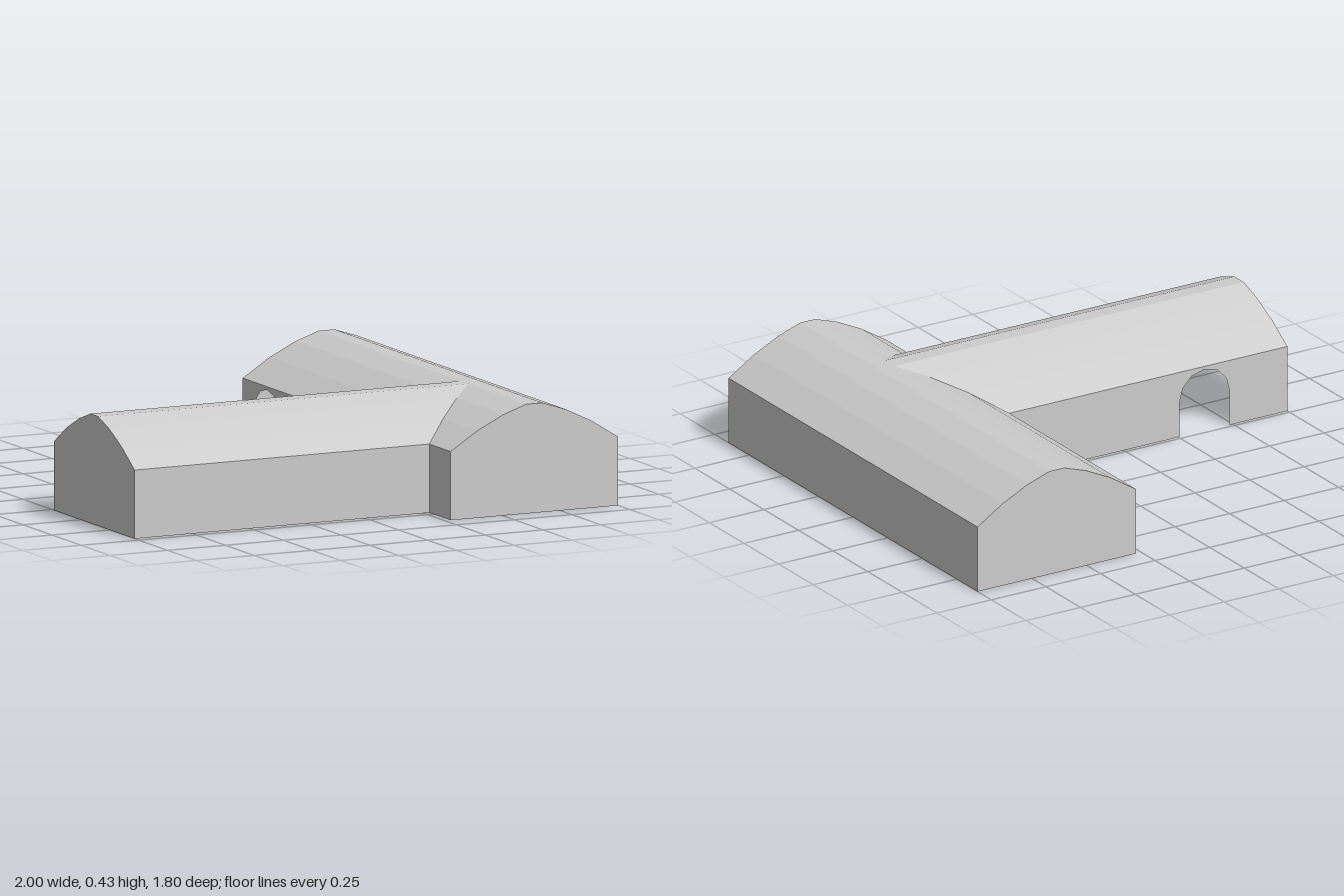
import * as THREE from 'three';

// Barrel-vault profile: half-width fractions and heights, symmetric about 0
const U = [-1, -0.68, -0.37, -0.095, 0.095, 0.37, 0.68, 1];
const Y = [0.27, 0.343, 0.397, 0.43, 0.43, 0.397, 0.343, 0.27];
const EAVE = 0.27;
const HALL_X = U.map((u) => 0.6375 + u * 0.3625);
const WING_Z = U.map((u) => 0.365 + u * 0.35);
const [X0, X1] = [HALL_X[0], HALL_X[7]];
const [Z0, Z1] = [WING_Z[0], WING_Z[7]];
const END = 0.9;

// Faceted strip between two matching rows of points
function strip(a, b) {
  const pos = [];
  for (let i = 0; i < a.length - 1; i++) {
    pos.push(...a[i], ...b[i], ...b[i + 1], ...a[i], ...b[i + 1], ...a[i + 1]);
  }
  const g = new THREE.BufferGeometry();
  g.setAttribute('position', new THREE.Float32BufferAttribute(pos, 3));
  g.computeVertexNormals();
  return g;
}

// Straight wall from u0 to u1, with an optional arched doorway at door
function wallShape(u0, u1, door) {
  const s = new THREE.Shape();
  s.moveTo(u0, 0);
  if (door !== undefined) {
    const r = 0.115, spring = 0.143;
    s.lineTo(door - r, 0);
    for (let i = 0; i <= 6; i++) {
      const t = Math.PI * (1 - i / 6);
      s.lineTo(door + r * Math.cos(t), spring + r * Math.sin(t));
    }
    s.lineTo(door + r, 0);
  }
  s.lineTo(u1, 0);
  s.lineTo(u1, EAVE);
  s.lineTo(u0, EAVE);
  s.closePath();
  return s;
}

// End wall under the vault
function gableShape(us) {
  const s = new THREE.Shape();
  s.moveTo(us[0], 0);
  s.lineTo(us[7], 0);
  for (let i = 7; i >= 0; i--) s.lineTo(us[i], Y[i]);
  s.closePath();
  return s;
}

export function createModel() {
  const group = new THREE.Group();
  const grey = new THREE.MeshStandardMaterial({
    color: 0xcccccc, flatShading: true, side: THREE.DoubleSide,
  });
  grey.name = 'plainGrey';

  const add = (name, geometry, x = 0, z = 0, turn = 0) => {
    const m = new THREE.Mesh(geometry, grey);
    m.name = name;
    m.position.set(x, 0, z);
    m.rotation.y = turn;
    group.add(m);
  };
  const flat = (shape) => new THREE.ShapeGeometry(shape);

  // Hall roof: the inner slope stops at the valleys where the wing joins
  const hallRow = (from, to, zOf) => {
    const row = [];
    for (let i = from; i <= to; i++) row.push([HALL_X[i], Y[i], zOf(i)]);
    return row;
  };
  add('hallRoofOuter', strip(hallRow(3, 7, () => -END), hallRow(3, 7, () => END)));
  add('hallRoofInnerBack', strip(hallRow(0, 3, () => -END), hallRow(0, 3, (i) => WING_Z[i])));
  add('hallRoofInnerFront', strip(hallRow(0, 3, (i) => WING_Z[7 - i]), hallRow(0, 3, () => END)));

  // Wing roof, mitred into the hall roof
  const valley = U.map((_, i) => [HALL_X[Math.min(i, 7 - i)], Y[i], WING_Z[i]]);
  const wingEnd = U.map((_, i) => [-1, Y[i], WING_Z[i]]);
  add('wingRoof', strip(valley, wingEnd));

  // Hall walls, open toward the wing
  add('hallFrontGable', flat(gableShape(HALL_X)), 0, END);
  add('hallBackGable', flat(gableShape(HALL_X.map((x) => -x).reverse())), 0, -END, Math.PI);
  add('hallOuterWall', flat(wallShape(-END, END)), X1, 0, Math.PI / 2);
  add('hallDoorWall', flat(wallShape(-END, Z0, -0.69)), X0, 0, -Math.PI / 2);
  add('hallFrontReturnWall', flat(wallShape(Z1, END)), X0, 0, -Math.PI / 2);

  // Wing walls
  add('wingFrontWall', flat(wallShape(-1, X0)), 0, Z1);
  add('wingDoorWall', flat(wallShape(-X0, 1, 0.62)), 0, Z0, Math.PI);
  add('wingGable', flat(gableShape(WING_Z)), -1, 0, -Math.PI / 2);

  return group;
}
